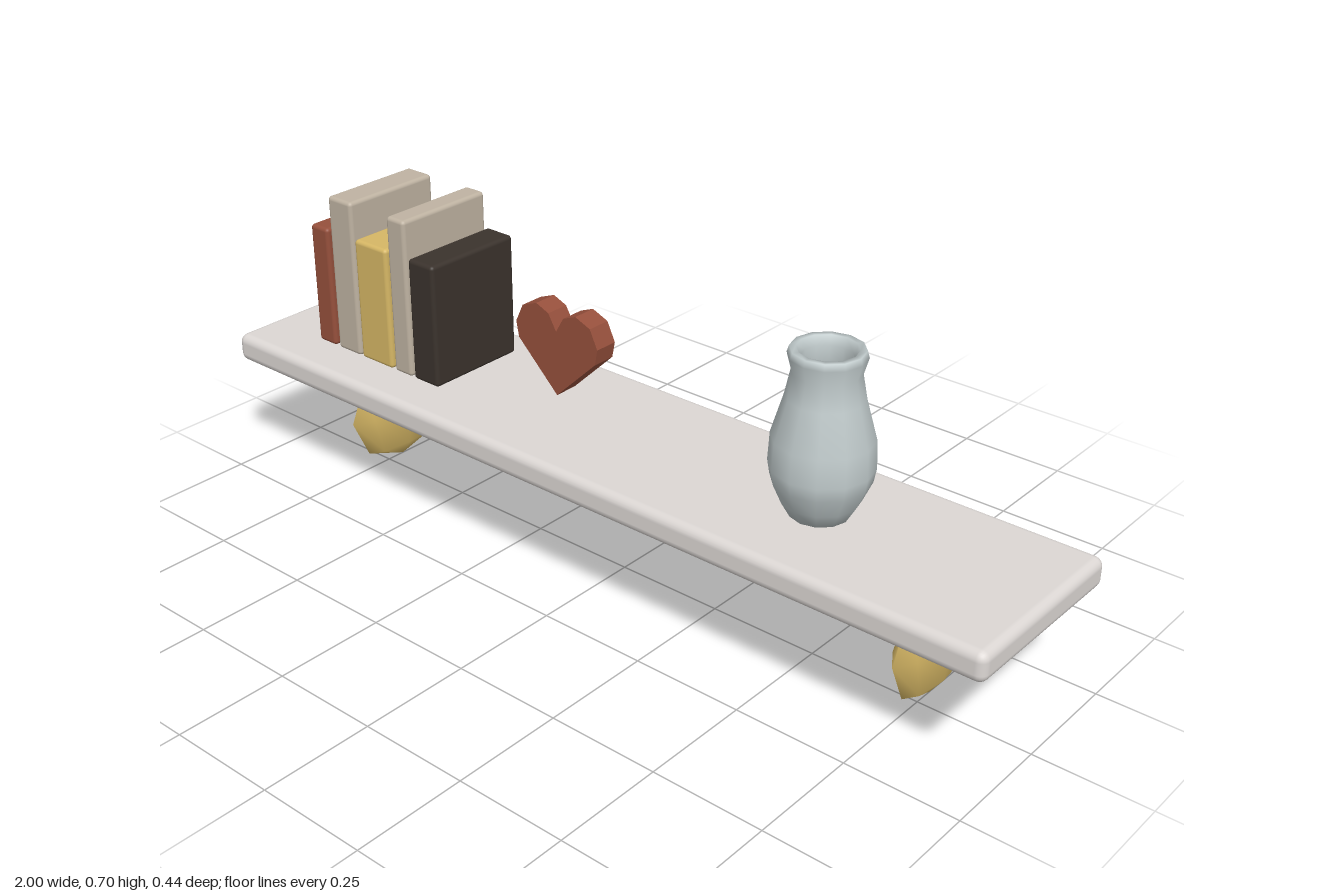
import * as THREE from 'three';
import { RoundedBoxGeometry } from 'three/addons/geometries/RoundedBoxGeometry.js';

const mat = (color, side = THREE.FrontSide) => new THREE.MeshStandardMaterial({ color, side });
const red = mat(0x96503c), tan = mat(0xbfb3a2), gold = mat(0xd6b765), dark = mat(0x3b332d);
const boardMat = mat(0xdcd7d4), vaseMat = mat(0xc0cacb, THREE.DoubleSide);

// Rounded block given by its min and max on each axis
function block(name, [x0, x1], [y0, y1], [z0, z1], r, material) {
  const mesh = new THREE.Mesh(new RoundedBoxGeometry(x1 - x0, y1 - y0, z1 - z0, 3, r), material);
  mesh.position.set((x0 + x1) / 2, (y0 + y1) / 2, (z0 + z1) / 2);
  mesh.name = name;
  return mesh;
}

export function createModel() {
  const model = new THREE.Group();
  model.name = 'wallShelf';
  const top = 0.334;

  // Shelf board
  model.add(block('shelfBoard', [-1, 1], [0.268, top], [-0.212, 0.22], 0.02, boardMat));

  // Brackets: a wall plate and a flattened faceted disc
  for (const side of [-1, 1]) {
    const bracket = new THREE.Group();
    bracket.name = side > 0 ? 'leftBracket' : 'rightBracket';
    bracket.add(block('wallPlate', [-0.026, 0.026], [0.035, 0.3], [-0.22, -0.138], 0.02, gold));
    const disc = new THREE.Mesh(new THREE.SphereGeometry(1, 8, 4), gold);
    disc.scale.set(0.04, 0.134, 0.149);
    disc.position.set(0, 0.134, -0.045);
    disc.name = 'bracketDisc';
    bracket.add(disc);
    bracket.position.x = side * 0.75;
    model.add(bracket);
  }

  // Row of books: x from, x to, top height, colour
  const books = new THREE.Group();
  books.name = 'books';
  [
    [-0.835, -0.779, 0.618, red],
    [-0.769, -0.695, 0.7, tan],
    [-0.69, -0.59, 0.618, gold],
    [-0.582, -0.527, 0.7, tan],
    [-0.52, -0.444, 0.618, dark],
  ].forEach(([x0, x1, y1, m], i) =>
    books.add(block('book' + (i + 1), [x0, x1], [top - 0.002, y1], [-0.135, 0.112], 0.009, m)));
  model.add(books);

  // Heart ornament: half outline mirrored, then extruded
  const half = [[0, 0.374], [0.108, 0.478], [0.115, 0.514], [0.095, 0.556], [0.055, 0.572], [0.021, 0.558], [0, 0.522]];
  const outline = [...half, ...half.slice(1, -1).reverse().map(([x, y]) => [-x, y])];
  const heartShape = new THREE.Shape(outline.map(([x, y]) => new THREE.Vector2(x, y)));
  const heart = new THREE.Mesh(new THREE.ExtrudeGeometry(heartShape, { depth: 0.055, bevelEnabled: false }), red);
  heart.position.set(-0.168, 0, -0.03);
  heart.name = 'heart';
  model.add(heart);

  // Vase: outside from the foot up, over the lip and down the inside
  const profile = [
    [0, top], [0.062, top], [0.081, 0.367], [0.1, 0.41], [0.105, 0.44], [0.102, 0.5], [0.078, 0.585],
    [0.068, 0.636], [0.077, 0.67], [0.073, 0.684], [0.06, 0.684], [0.052, 0.665], [0.05, 0.63],
    [0.062, 0.58], [0.085, 0.5], [0.085, 0.42], [0.045, 0.36], [0, 0.355],
  ].map(([r, y]) => new THREE.Vector2(r, y));
  const vase = new THREE.Mesh(new THREE.LatheGeometry(profile, 12), vaseMat);
  vase.position.set(0.5, 0, 0.004);
  vase.name = 'vase';
  model.add(vase);

  return model;
}
